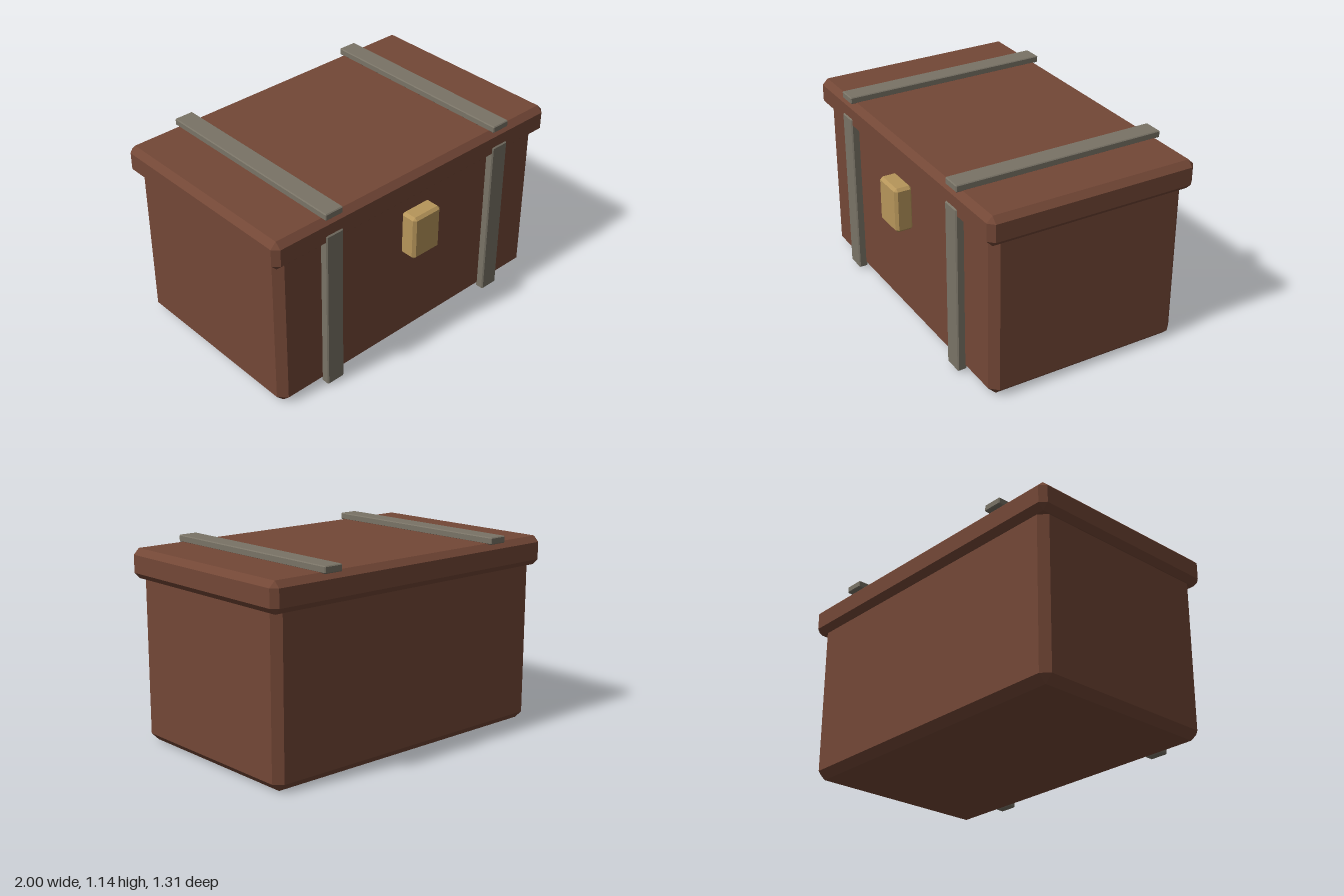
import * as THREE from 'three';
import { ConvexGeometry } from 'three/addons/geometries/ConvexGeometry.js';

const wood = new THREE.MeshStandardMaterial({ color: 0x734736 });
wood.name = 'brown wood';
const iron = new THREE.MeshStandardMaterial({ color: 0x797366 });
iron.name = 'grey iron';
const brass = new THREE.MeshStandardMaterial({ color: 0xb6955a });
brass.name = 'brass';

// Box between two corners with every edge chamfered by c
function chamferBox(name, material, min, max, c) {
  const half = max.map((v, i) => (v - min[i]) / 2);
  const points = [];
  for (const sx of [-1, 1]) for (const sy of [-1, 1]) for (const sz of [-1, 1]) {
    for (let axis = 0; axis < 3; axis++) {
      // each corner becomes three points, one on each adjoining face
      const p = [sx, sy, sz].map((s, i) => s * (half[i] - (i === axis ? 0 : c)));
      points.push(new THREE.Vector3(...p));
    }
  }
  const mesh = new THREE.Mesh(new ConvexGeometry(points), material);
  mesh.name = name;
  mesh.position.set(...min.map((v, i) => (v + max[i]) / 2));
  return mesh;
}

export function createModel() {
  const chest = new THREE.Group();
  chest.name = 'chest';

  // Body and overhanging lid
  chest.add(chamferBox('body', wood, [-0.96, 0, -0.617], [0.96, 0.98, 0.557], 0.045));
  chest.add(chamferBox('lid', wood, [-1, 0.935, -0.655], [1, 1.104, 0.595], 0.034));

  // Matching pairs of straps on the lid and down the front
  for (const [side, x] of [['left', 0.615], ['right', -0.615]]) {
    const x0 = x - 0.058, x1 = x + 0.058;
    chest.add(chamferBox(side + 'LidStrap', iron, [x0, 1.1, -0.656], [x1, 1.14, 0.597], 0.005));
    chest.add(chamferBox(side + 'FrontStrap', iron, [x0, 0.014, 0.547], [x1, 1.006, 0.602], 0.007));
  }

  // Latch plate
  chest.add(chamferBox('latch', brass, [-0.1, 0.596, 0.55], [0.1, 0.865, 0.657], 0.016));
  return chest;
}
